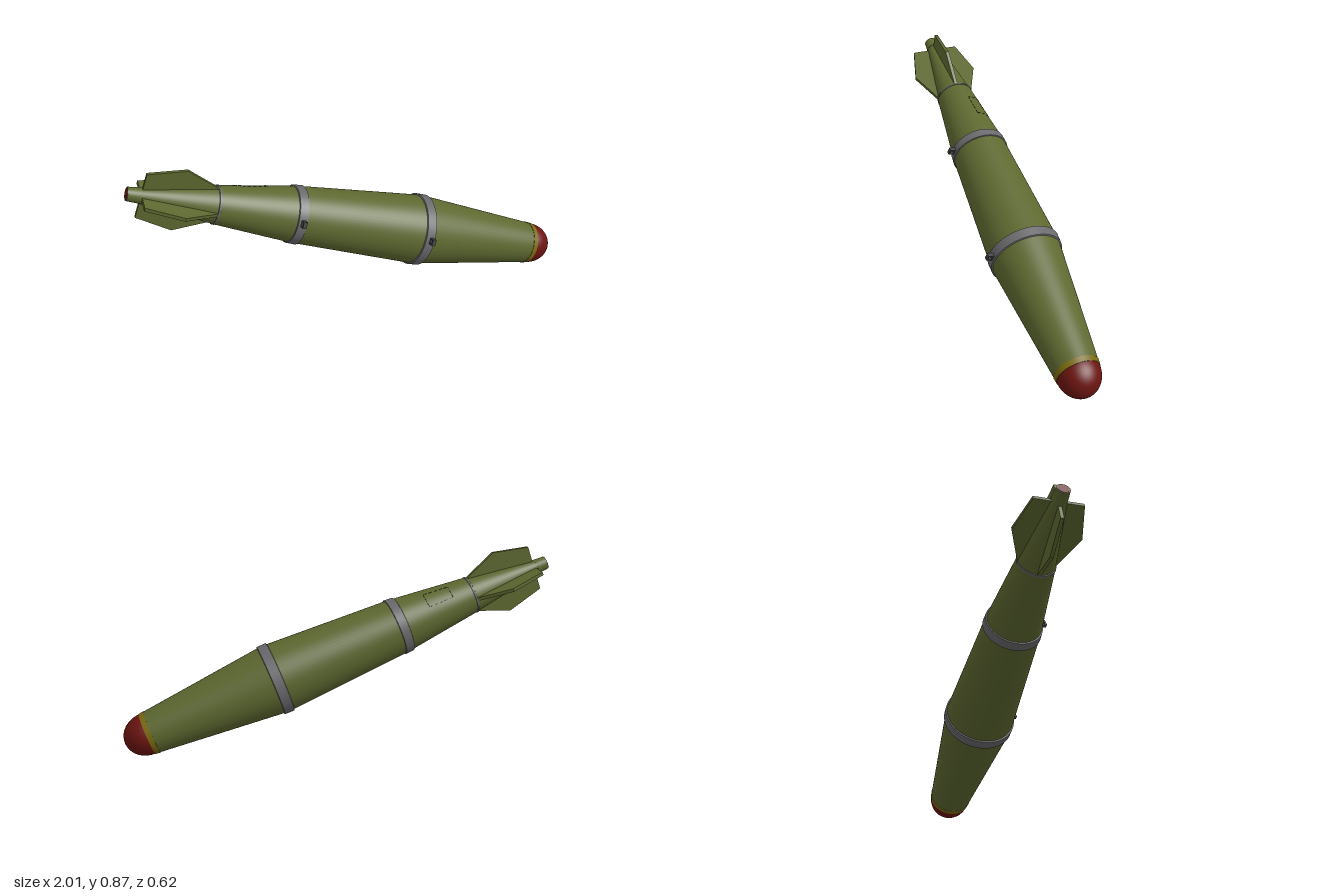
import * as THREE from 'three';

const mat = (color) => new THREE.MeshStandardMaterial({ color });
const SEG = 64;

export function createModel() {
  const olive = mat(0x5d6830), grey = mat(0x6a6a6d), red = mat(0x6b1410);
  const yellow = mat(0x7a6a10), dark = mat(0x33381c), metal = mat(0x444446);

  // Built upright: y runs along the axis from tail to nose
  const bomb = new THREE.Group();
  bomb.name = 'bomb';
  const add = (name, geometry, material, parent = bomb) => {
    const mesh = new THREE.Mesh(geometry, material);
    mesh.name = name;
    parent.add(mesh);
    return mesh;
  };
  // Profile points are [radius, height], from tail to nose
  const lathe = (name, pts, material) =>
    add(name, new THREE.LatheGeometry(pts.map(([r, y]) => new THREE.Vector2(r, y)), SEG), material);
  // Straight-sided section with crisp ends
  const section = (name, y0, r0, y1, r1, material) => {
    const m = add(name, new THREE.CylinderGeometry(r1, r0, y1 - y0, SEG), material);
    m.position.y = (y0 + y1) / 2;
    return m;
  };

  // Hull sections
  section('noseSection', 0.335, 0.166, 0.954, 0.101, olive);
  section('midSection', -0.30, 0.131, 0.335, 0.166, olive);
  section('rearSection', -0.68, 0.087, -0.30, 0.131, olive);
  section('tailCone', -1.03, 0.033, -0.68, 0.086, olive);
  section('tailCollar', -1.078, 0.031, -1.025, 0.035, olive);
  section('tailPlug', -1.08, 0.026, -1.07, 0.026, red);

  // Nose
  section('noseRing', 0.95, 0.1035, 0.975, 0.1, yellow);
  const dome = [];
  for (let i = 0; i <= 16; i++) {
    const a = (i / 16) * Math.PI / 2;
    dome.push([Math.max(0.098 * Math.cos(a), 0), 0.973 + 0.11 * Math.sin(a)]);
  }
  lathe('noseCap', dome, red);

  // Clamping bands with bevelled edges
  const band = (name, y, h, r0, r1) => {
    const rows = [[r0 - 0.008, y - h / 2], [r0, y - h / 2 + 0.003], [r1, y + h / 2 - 0.003], [r1 - 0.008, y + h / 2]];
    for (let i = 0; i < 3; i++) lathe(name, [rows[i], rows[i + 1]], grey);
  };
  band('frontBand', 0.333, 0.052, 0.171, 0.170);
  band('middleBand', -0.302, 0.048, 0.134, 0.137);
  band('tailBand', -0.68, 0.014, 0.089, 0.090);

  // Four tail fins
  const finShape = new THREE.Shape([[0.03, -0.68], [0.03, -1.015], [0.111, -1.015], [0.155, -0.842], [0.086, -0.68]]
    .map(([r, y]) => new THREE.Vector2(r, y)));
  const finGeometry = new THREE.ExtrudeGeometry(finShape, { depth: 0.016, bevelEnabled: false });
  finGeometry.translate(0, 0, -0.008);
  for (let i = 0; i < 4; i++) add('tailFin', finGeometry, olive).rotation.y = i * Math.PI / 2;

  // Square hanging lugs on the bands
  const square = (h) => [[-h, -h], [h, -h], [h, h], [-h, h]].map(([x, y]) => new THREE.Vector2(x, y));
  const lugShape = new THREE.Shape(square(0.015));
  lugShape.holes.push(new THREE.Path(square(0.009).reverse()));
  const lugGeometry = new THREE.ExtrudeGeometry(lugShape, { depth: 0.018, bevelEnabled: false });
  lugGeometry.translate(0, 0, -0.009).rotateX(Math.PI / 2);
  for (const [y, r] of [[0.338, 0.185], [-0.302, 0.149]]) {
    const pivot = new THREE.Group();
    pivot.name = 'hangingLug';
    pivot.rotation.y = -0.27;
    // Mirrored angle keeps the lug on the upper front side
    const lug = add('lugRing', lugGeometry, metal, pivot);
    lug.position.set(r, y, 0);
    pivot.rotation.y = -THREE.MathUtils.degToRad(15.4);
    bomb.add(pivot);
  }

  // Hatch outlined with short dashes on the rear section
  const hatch = new THREE.Group();
  hatch.name = 'hatch';
  const radiusAt = (y) => 0.131 + (y + 0.30) * (0.044 / 0.38);
  const dash = (y, angle, w, h) => {
    const m = add('hatchDash', new THREE.BoxGeometry(w, h, 0.003), dark, hatch);
    const r = radiusAt(y);
    m.position.set(r * Math.sin(angle), y, r * Math.cos(angle));
    m.rotation.y = angle;
  };
  const mid = THREE.MathUtils.degToRad(-35.6);
  for (const side of [-1, 1]) {
    for (let i = 0; i < 5; i++) dash(-0.514 + (i - 2) * 0.026, mid + side * 0.33, 0.003, 0.016);
    for (let i = 0; i < 3; i++) dash(-0.514 + side * 0.062, mid + (i - 1) * 0.24, 0.016, 0.003);
  }
  bomb.add(hatch);

  // Tilt the axis: nose down, pointing left and slightly forward
  const axis = new THREE.Vector3(0.9195, -0.335, 0.206).normalize();
  const side = new THREE.Vector3(-axis.z, 0, axis.x).normalize();
  const up = new THREE.Vector3().crossVectors(side, axis);
  bomb.quaternion.setFromRotationMatrix(new THREE.Matrix4().makeBasis(side, axis, up));
  bomb.position.set(0, 0.43, 0.011);

  const model = new THREE.Group();
  model.add(bomb);
  return model;
}
